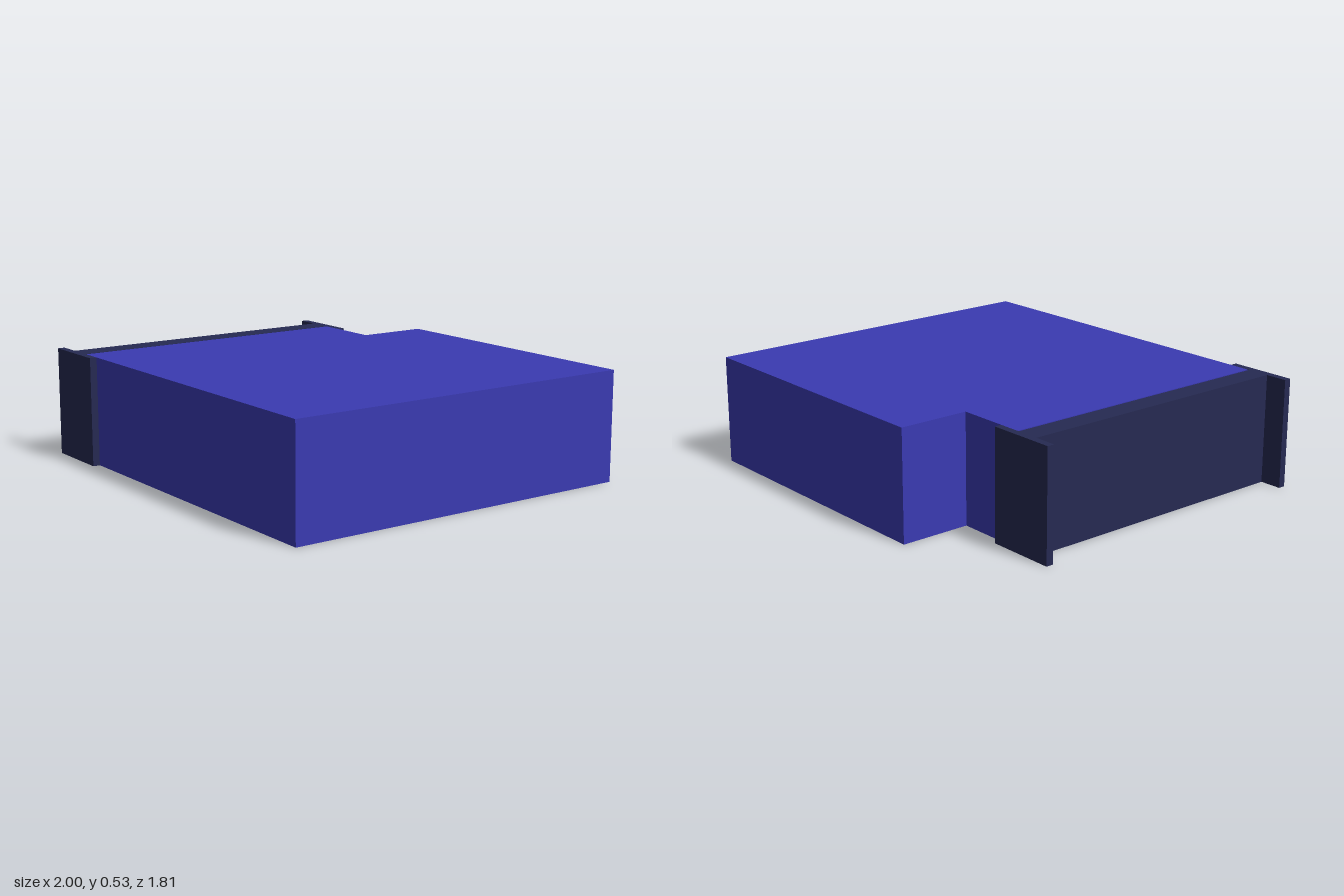
import * as THREE from 'three';

const HEIGHT = 0.53;

export function createModel() {
  const model = new THREE.Group();
  const blue = new THREE.MeshStandardMaterial({ color: 0x3a3ab2 });
  const navy = new THREE.MeshStandardMaterial({ color: 0x262a52 });

  // Main block: plan outline (x, z) with a notched back corner, raised to full height
  const plan = [[-0.77, 0.87], [1, 0.87], [1, -0.905], [-0.425, -0.905], [-0.425, -0.56], [-0.77, -0.56]];
  const outline = new THREE.Shape(plan.map(([x, z]) => new THREE.Vector2(x, -z)));
  const blockGeometry = new THREE.ExtrudeGeometry(outline, { depth: HEIGHT, bevelEnabled: false });
  blockGeometry.rotateX(-Math.PI / 2);
  const block = new THREE.Mesh(blockGeometry, blue);
  block.name = 'mainBlock';
  model.add(block);

  // Side beam with an I-shaped plan: a web between two flanges
  const beam = new THREE.Group();
  beam.name = 'sideBeam';
  const addSlab = (name, x0, x1, z0, z1) => {
    const slab = new THREE.Mesh(new THREE.BoxGeometry(x1 - x0, HEIGHT, z1 - z0), navy);
    slab.position.set((x0 + x1) / 2, HEIGHT / 2, (z0 + z1) / 2);
    slab.name = name;
    beam.add(slab);
  };
  addSlab('web', -0.89, -0.778, -0.56, 0.87);
  addSlab('frontFlange', -1, -0.665, 0.87, 0.905);
  addSlab('backFlange', -1, -0.665, -0.595, -0.56);
  model.add(beam);

  return model;
}
